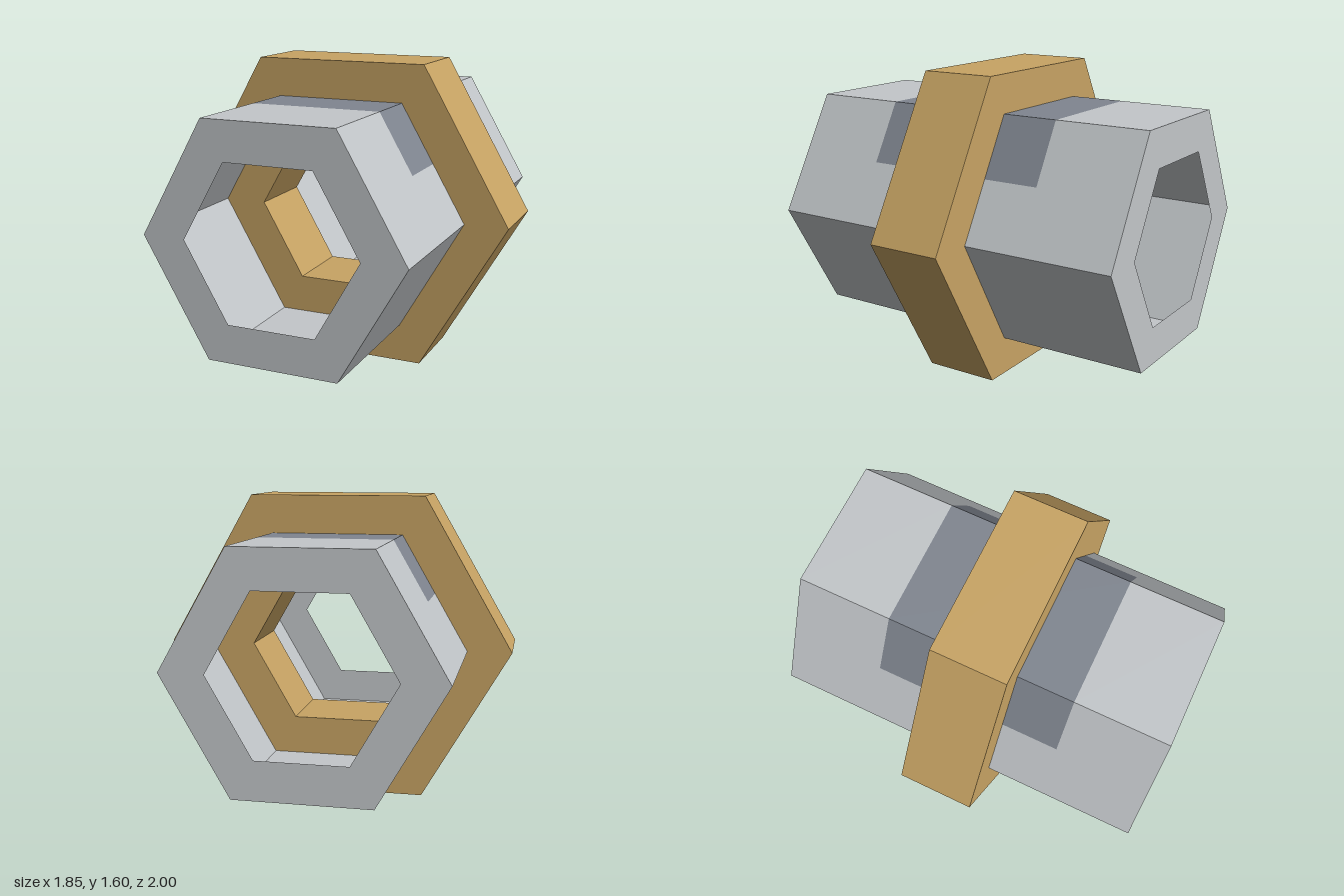
import * as THREE from 'three';

const CY = 0.8; // height of the tube axis

// Corners of a flat-topped hexagon, counter-clockwise from the +x corner
function hexPoints(apothem) {
  const r = apothem / Math.cos(Math.PI / 6);
  return Array.from({ length: 6 }, (_, i) =>
    new THREE.Vector2(r * Math.cos(i * Math.PI / 3), CY + r * Math.sin(i * Math.PI / 3)));
}

// Hexagon outline with a hexagonal hole
function hexRing(outer, inner) {
  const shape = new THREE.Shape(hexPoints(outer));
  shape.holes.push(new THREE.Path(hexPoints(inner).reverse()));
  return shape;
}

// Thin flat-sided wall that sweeps an open outline from z0 to z1
function wall(points, z0, z1) {
  const pos = [];
  for (let i = 0; i < points.length - 1; i++) {
    const a = points[i], b = points[i + 1];
    pos.push(a.x, a.y, z1, a.x, a.y, z0, b.x, b.y, z0);
    pos.push(a.x, a.y, z1, b.x, b.y, z0, b.x, b.y, z1);
  }
  const g = new THREE.BufferGeometry();
  g.setAttribute('position', new THREE.Float32BufferAttribute(pos, 3));
  g.computeVertexNormals();
  return g;
}

export function createModel() {
  const silver = new THREE.MeshStandardMaterial({ color: 0xc3c7ca, side: THREE.DoubleSide });
  silver.name = 'silver';
  const slate = new THREE.MeshStandardMaterial({ color: 0x808690, side: THREE.DoubleSide });
  slate.name = 'slate';
  const brass = new THREE.MeshStandardMaterial({ color: 0xc8a464 });
  brass.name = 'brass';

  const group = new THREE.Group();
  group.name = 'hexCoupling';
  const add = (name, geometry, material) => {
    const mesh = new THREE.Mesh(geometry, material);
    mesh.name = name;
    group.add(mesh);
    return mesh;
  };

  // Outline of the tube, split halfway up the upper slopes
  const hex = hexPoints(0.6);
  const splitLeft = hex[0].clone().lerp(hex[1], 0.5);
  const splitRight = hex[2].clone().lerp(hex[3], 0.5);
  const upper = [splitLeft, hex[1], hex[2], splitRight];
  const lower = [splitRight, hex[3], hex[4], hex[5], hex[0], splitLeft];

  // Hollow tube with a dark saddle panel over its middle
  add('lowerTube', wall(lower, -1, 1), silver);
  add('upperTubeFront', wall(upper, 0.5, 1), silver);
  add('upperTubeBack', wall(upper, -1, -0.5), silver);
  add('saddlePanel', wall(upper, -0.5, 0.5), slate);

  // End rims
  for (const s of [1, -1]) {
    const rim = add(s > 0 ? 'frontRim' : 'backRim',
      new THREE.ShapeGeometry(hexRing(0.6, 0.4)), silver);
    rim.position.z = s;
    if (s < 0) rim.rotation.y = Math.PI;
  }

  // Collar around the middle, reaching inside the tube
  const collar = new THREE.ExtrudeGeometry(hexRing(0.8, 0.4), { depth: 0.4, bevelEnabled: false });
  collar.translate(0, 0, -0.2);
  add('collar', collar, brass);

  return group;
}
